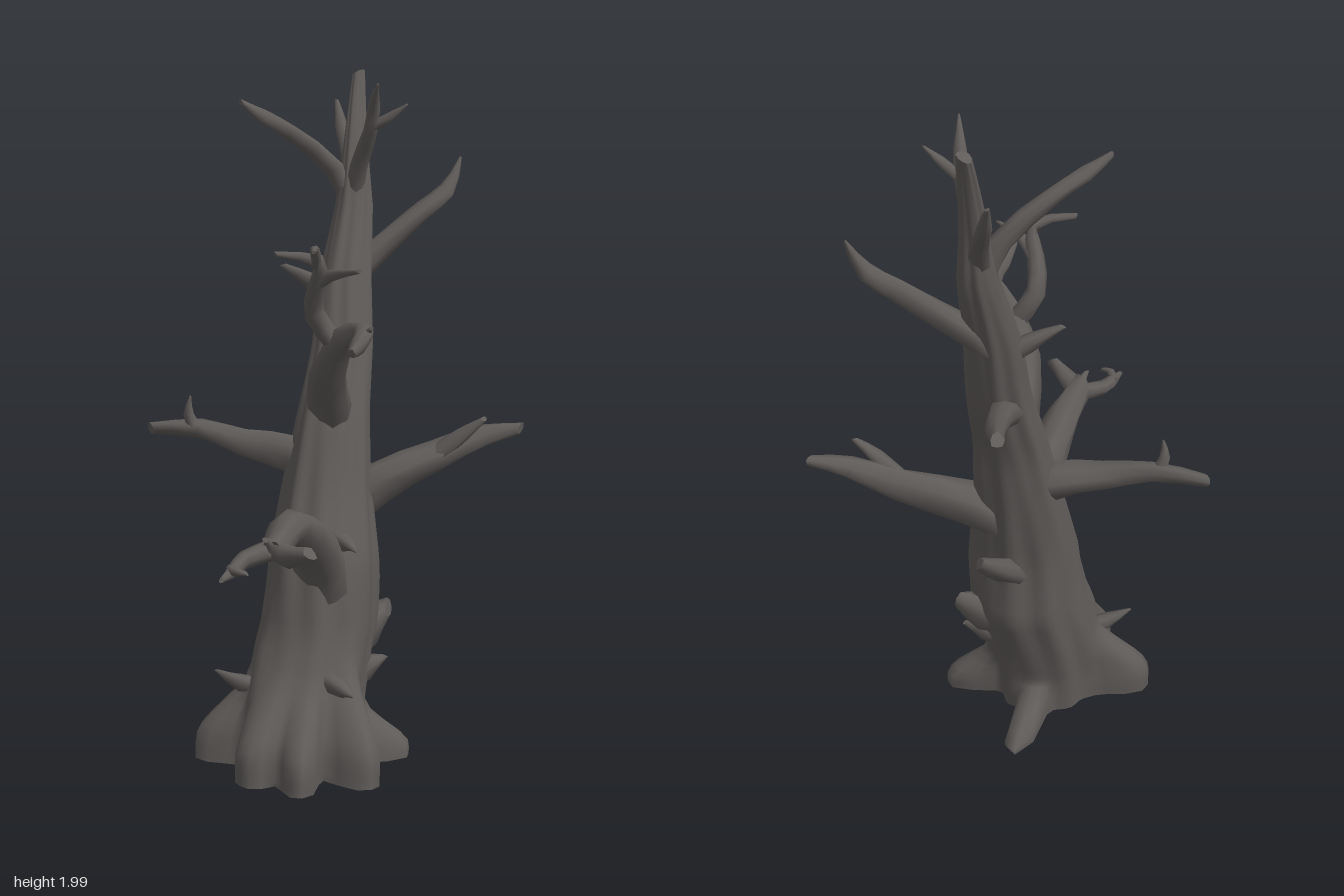
import * as THREE from 'three';

const bark = new THREE.MeshStandardMaterial({ color: 0x5f5b59 });
bark.name = 'greyBark';

// Skin a list of equal-sized rings and close both ends with sharp caps
function loft(name, rings) {
  const n = rings[0].length, pos = [], idx = [];
  const push = (p) => pos.push(p.x, p.y, p.z) / 3 - 1;
  rings.forEach((ring) => ring.forEach(push));
  for (let i = 0; i < rings.length - 1; i++) {
    for (let j = 0; j < n; j++) {
      const a = i * n + j, b = i * n + (j + 1) % n;
      idx.push(a, a + n, b, b, a + n, b + n);
    }
  }
  [rings[0], rings[rings.length - 1]].forEach((ring, end) => {
    const centre = ring.reduce((s, p) => s.add(p), new THREE.Vector3()).divideScalar(n);
    const c = push(centre);
    const first = ring.map(push)[0];
    for (let j = 0; j < n; j++) {
      const a = first + j, b = first + (j + 1) % n;
      if (end) idx.push(c, b, a); else idx.push(c, a, b);
    }
  });
  const geo = new THREE.BufferGeometry();
  geo.setAttribute('position', new THREE.Float32BufferAttribute(pos, 3));
  geo.setIndex(idx);
  geo.computeVertexNormals();
  const mesh = new THREE.Mesh(geo, bark);
  mesh.name = name;
  return mesh;
}

// Tapered limb through points [x, y, z, radius], ending in a slanted break
function limb(name, pts, sides = 8) {
  const curve = new THREE.CatmullRomCurve3(pts.map((p) => new THREE.Vector3(p[0], p[1], p[2])));
  const steps = (pts.length - 1) * 2;
  const frames = curve.computeFrenetFrames(steps);
  const rings = [];
  for (let i = 0; i <= steps; i++) {
    const u = i / steps, k = Math.min(Math.floor(i / 2), pts.length - 2), f = i / 2 - k;
    const r = THREE.MathUtils.lerp(pts[k][3], pts[k + 1][3], f);
    const c = curve.getPoint(u);
    const ring = [];
    for (let j = 0; j < sides; j++) {
      const t = j / sides * Math.PI * 2;
      const rr = r * (1 + 0.12 * Math.sin(j * 2.3 + i * 0.9));
      const p = c.clone()
        .addScaledVector(frames.normals[i], Math.cos(t) * rr)
        .addScaledVector(frames.binormals[i], -Math.sin(t) * rr);
      if (i === steps) p.addScaledVector(frames.tangents[i], Math.cos(t) * r * 0.8);
      ring.push(p);
    }
    rings.push(ring);
  }
  return loft(name, rings);
}

// Leaning trunk: y, centre x, centre z, radius x, radius z
const TRUNK = [
  [0.01, 0.07, 0.02, 0.165, 0.18], [0.12, 0.065, 0.01, 0.165, 0.185], [0.25, 0.055, -0.03, 0.165, 0.185],
  [0.4, 0.045, -0.085, 0.16, 0.18], [0.6, 0.035, -0.1, 0.155, 0.155], [0.8, 0.01, -0.155, 0.13, 0.125],
  [1.0, -0.005, -0.208, 0.108, 0.105], [1.2, -0.03, -0.288, 0.09, 0.088], [1.4, -0.06, -0.342, 0.078, 0.073],
  [1.6, -0.08, -0.415, 0.056, 0.056], [1.72, -0.09, -0.437, 0.042, 0.042],
  [1.85, -0.115, -0.478, 0.03, 0.03], [1.99, -0.145, -0.53, 0.019, 0.019],
];
// Root flares: tip x, tip z, height, angular width
const ROOTS = [
  [0.385, 0.08, 0.34, 0.3], [0.305, -0.21, 0.18, 0.26], [-0.1, -0.35, 0.12, 0.18],
  [-0.205, 0.2, 0.28, 0.3], [0.08, 0.31, 0.34, 0.28], [0.26, 0.27, 0.3, 0.24],
];

function trunk() {
  const sides = 56, rows = 44, rings = [];
  for (let i = 0; i <= rows; i++) {
    const y = 0.01 + 1.98 * Math.pow(i / rows, 1.25);
    let k = 0;
    while (k < TRUNK.length - 2 && y > TRUNK[k + 1][0]) k++;
    const A = TRUNK[k], B = TRUNK[k + 1], f = (y - A[0]) / (B[0] - A[0]);
    const [cx, cz, rx, rz] = [1, 2, 3, 4].map((m) => THREE.MathUtils.lerp(A[m], B[m], f));
    const lopsided = 0.15 * THREE.MathUtils.smoothstep(y, 0.3, 0.6);
    const ring = [];
    for (let j = 0; j < sides; j++) {
      const t = j / sides * Math.PI * 2;
      // Bark furrows that twist slowly upwards, fuller on the back left side
      const furrow = 1 + 0.035 * Math.sin(7 * t + y * 3) + 0.025 * Math.sin(11 * t - y * 4)
        + lopsided * Math.cos(t + Math.PI / 4) ** 5;
      let r = furrow / Math.hypot(Math.cos(t) / rx, Math.sin(t) / rz);
      for (const [x, z, h, w] of ROOTS) {
        const dx = x - 0.07, dz = z - 0.02;
        let d = t - Math.atan2(dz, dx);
        d = Math.atan2(Math.sin(d), Math.cos(d));
        const fade = 1 - THREE.MathUtils.smoothstep(y, h * 0.2, h);
        r += Math.max(0, Math.hypot(dx, dz) - 0.18) * fade * Math.exp(-(Math.abs(d / w) ** 3));
      }
      ring.push(new THREE.Vector3(cx + Math.cos(t) * r, y + (i === rows ? 0.01 * Math.cos(t) : 0), cz + Math.sin(t) * r));
    }
    rings.push(ring);
  }
  return loft('trunk', rings);
}

export function createModel() {
  const tree = new THREE.Group();
  tree.name = 'deadTree';
  const add = (name, ...pts) => tree.add(limb(name, pts));
  tree.add(trunk());

  // Low front bough that grows out of a ridge on the trunk, with a forked end
  add('frontBough', [0.09, 0.36, -0.05, 0.04], [0.11, 0.54, -0.04, 0.08], [0.15, 0.68, 0.06, 0.07], [0.21, 0.78, 0.24, 0.053], [0.27, 0.785, 0.36, 0.043], [0.32, 0.78, 0.46, 0.036]);
  add('frontBoughFork', [0.3, 0.78, 0.43, 0.03], [0.38, 0.78, 0.475, 0.03], [0.475, 0.81, 0.505, 0.018]);
  add('frontBoughFork', [0.31, 0.78, 0.43, 0.03], [0.28, 0.765, 0.53, 0.024], [0.3, 0.755, 0.6, 0.018], [0.32, 0.75, 0.67, 0.007]);
  add('frontTwig', [0.29, 0.757, 0.6, 0.013], [0.33, 0.765, 0.63, 0.012], [0.365, 0.765, 0.625, 0.006]);
  add('frontTwig', [0.32, 0.79, 0.46, 0.02], [0.325, 0.82, 0.5, 0.007]);

  // Upper front bough, splitting into a long arm and a crooked arm
  add('upperBough', [0.0, 0.9, -0.2, 0.03], [0.045, 1.04, -0.155, 0.065], [0.12, 1.17, -0.04, 0.052], [0.2, 1.27, 0.0, 0.038], [0.3, 1.305, 0.04, 0.028], [0.38, 1.295, 0.17, 0.022], [0.465, 1.3, 0.32, 0.012]);
  add('upperTwig', [0.33, 1.3, 0.08, 0.018], [0.37, 1.33, 0.1, 0.005]);
  add('crookedArm', [0.18, 1.24, -0.01, 0.03], [0.125, 1.34, 0.03, 0.03], [0.16, 1.43, 0.07, 0.025], [0.2, 1.5, 0.11, 0.018], [0.12, 1.52, 0.2, 0.008]);
  add('crookedTwig', [0.15, 1.42, 0.06, 0.018], [0.22, 1.46, 0.08, 0.016], [0.32, 1.48, 0.09, 0.006]);
  add('crookedTwig', [0.19, 1.49, 0.11, 0.016], [0.23, 1.54, 0.17, 0.012], [0.25, 1.535, 0.2, 0.005]);

  // Right bough
  add('rightBough', [0.02, 0.82, -0.2, 0.07], [-0.09, 0.88, -0.15, 0.058], [-0.22, 0.91, -0.07, 0.04], [-0.34, 0.945, -0.01, 0.03], [-0.48, 0.94, 0.055, 0.018]);
  add('rightTwig', [-0.35, 0.94, 0.0, 0.022], [-0.365, 0.99, 0.01, 0.016], [-0.36, 1.045, 0.01, 0.003]);

  // Back left bough
  add('backBough', [0.02, 0.68, -0.18, 0.06], [0.11, 0.795, -0.29, 0.064], [0.24, 0.87, -0.43, 0.046], [0.34, 0.93, -0.53, 0.032], [0.42, 0.95, -0.6, 0.016]);
  add('backTwig', [0.25, 0.88, -0.42, 0.03], [0.31, 0.94, -0.45, 0.022], [0.365, 0.99, -0.48, 0.008]);

  // Slender branches higher up
  add('backRightBranch', [-0.05, 1.15, -0.28, 0.05], [-0.13, 1.21, -0.4, 0.037], [-0.23, 1.26, -0.53, 0.027], [-0.325, 1.315, -0.63, 0.018]);
  add('backUpperBranch', [-0.07, 1.38, -0.36, 0.045], [0.0, 1.48, -0.46, 0.036], [0.08, 1.58, -0.56, 0.03], [0.12, 1.64, -0.63, 0.026], [0.135, 1.74, -0.68, 0.004]);

  // Crown
  add('crownBranch', [-0.085, 1.58, -0.42, 0.03], [-0.12, 1.71, -0.385, 0.03], [-0.2, 1.82, -0.27, 0.023], [-0.24, 1.865, -0.19, 0.021], [-0.275, 1.91, -0.13, 0.008]);
  add('crownBranch', [-0.085, 1.58, -0.42, 0.03], [-0.04, 1.72, -0.4, 0.027], [0.03, 1.83, -0.36, 0.021], [0.055, 1.9, -0.335, 0.018], [0.11, 1.965, -0.28, 0.003]);
  add('crownBranch', [-0.09, 1.64, -0.425, 0.03], [-0.14, 1.74, -0.48, 0.025], [-0.21, 1.82, -0.54, 0.02], [-0.265, 1.905, -0.585, 0.006]);
  add('crownTwig', [0.04, 1.84, -0.36, 0.016], [0.09, 1.87, -0.375, 0.014], [0.135, 1.905, -0.39, 0.003]);

  // Broken stubs, thorns and burls on the trunk
  add('stub', [0.0, 0.54, -0.18, 0.04], [-0.03, 0.63, -0.31, 0.034], [-0.045, 0.71, -0.41, 0.018]);
  add('stub', [-0.06, 1.33, -0.34, 0.03], [-0.12, 1.38, -0.28, 0.026], [-0.19, 1.43, -0.22, 0.008]);
  add('stub', [-0.03, 1.22, -0.29, 0.03], [0.05, 1.22, -0.24, 0.02], [0.11, 1.21, -0.2, 0.01]);
  add('thorn', [0.1, 0.66, -0.06, 0.035], [0.19, 0.68, -0.03, 0.025], [0.24, 0.66, -0.02, 0.004]);
  add('thorn', [0.14, 0.27, 0.02, 0.035], [0.24, 0.27, 0.05, 0.025], [0.29, 0.26, 0.06, 0.004]);
  add('thorn', [0.02, 0.2, 0.02, 0.035], [-0.08, 0.24, 0.12, 0.025], [-0.13, 0.28, 0.17, 0.004]);
  add('burl', [0.08, 0.3, -0.12, 0.06], [0.12, 0.37, -0.21, 0.065], [0.17, 0.42, -0.275, 0.025]);
  add('burl', [0.08, 0.2, -0.08, 0.05], [0.16, 0.26, -0.17, 0.04], [0.2, 0.29, -0.22, 0.008]);

  return tree;
}
